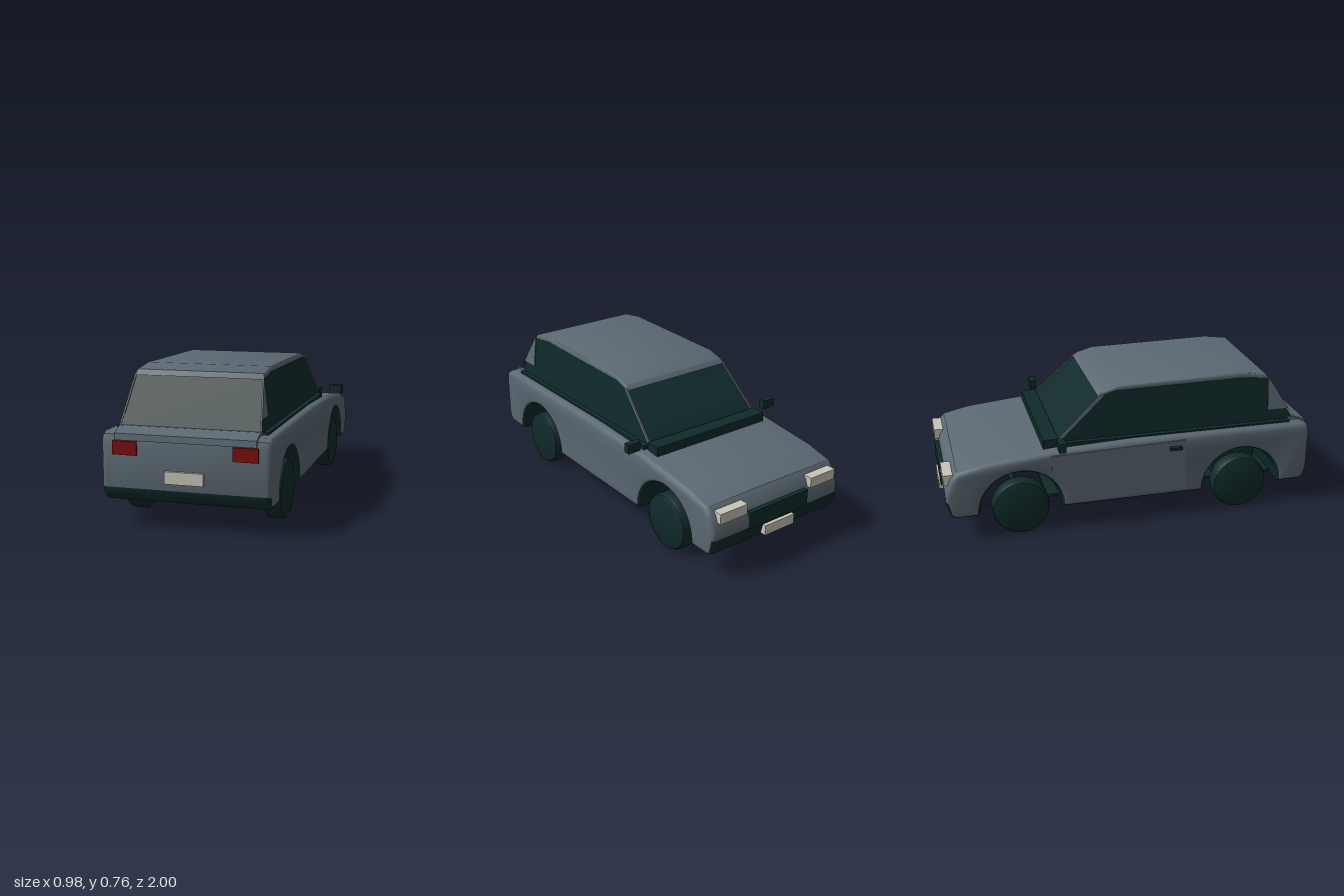
import * as THREE from 'three';
import { toCreasedNormals } from 'three/addons/utils/BufferGeometryUtils.js';

const makeMaterial = (name, color) => {
  const m = new THREE.MeshStandardMaterial({ color });
  m.name = name;
  return m;
};

export function createModel() {
  const paint = makeMaterial('grey paint', 0x5c6973);
  const dark = makeMaterial('dark glass and rubber', 0x102a2a);
  const red = makeMaterial('tail light red', 0x7c0c0c);
  const cream = makeMaterial('lamp cream', 0xc8c5b8);

  const car = new THREE.Group();
  car.name = 'car';

  const add = (name, geometry, material) => {
    const mesh = new THREE.Mesh(geometry, material);
    mesh.name = name;
    car.add(mesh);
    return mesh;
  };

  // Box given by its limits on each axis
  const box = (name, material, [x0, x1], [y0, y1], [z0, z1]) => {
    const g = new THREE.BoxGeometry(x1 - x0, y1 - y0, z1 - z0);
    add(name, g.translate((x0 + x1) / 2, (y0 + y1) / 2, (z0 + z1) / 2), material);
  };
  const mirroredBox = (name, material, [x0, x1], y, z) => {
    box(name + 'Left', material, [x0, x1], y, z);
    box(name + 'Right', material, [-x1, -x0], y, z);
  };

  // Side profile of [z, y] points swept across the car from x0 to x1
  const sweep = (points, x0, x1, bevel = 0) => {
    const shape = new THREE.Shape(points.map(([z, y]) => new THREE.Vector2(z, y)));
    const depth = x1 - x0 - 2 * bevel;
    const g = new THREE.ExtrudeGeometry(shape, {
      depth, bevelEnabled: bevel > 0, bevelSize: bevel, bevelThickness: bevel,
      bevelOffset: -bevel, bevelSegments: 3,
    });
    return g.translate(0, 0, -depth / 2).rotateY(-Math.PI / 2).translate((x0 + x1) / 2, 0, 0);
  };

  // Cabin sides lean inward towards the roof
  const lean = (g) => {
    const p = g.attributes.position;
    for (let i = 0; i < p.count; i++) {
      p.setX(i, p.getX(i) * (1 - 0.33 * (p.getY(i) - 0.48)));
    }
    return toCreasedNormals(g, 0.5);
  };

  // Lower body outline with two wheel arches
  const arch = (z) => Array.from({ length: 17 }, (_, i) => {
    const a = Math.PI * (1 - i / 16);
    return [z + 0.215 * Math.cos(a), 0.15 + 0.21 * Math.sin(a)];
  });
  const outline = [
    [0.95, 0.135], [0.975, 0.16], [0.985, 0.2], [0.985, 0.42], [0.975, 0.455], [0.945, 0.47],
    [0, 0.472], [-0.4, 0.457], [-0.78, 0.42], [-0.92, 0.388], [-0.955, 0.35], [-0.985, 0.27],
    [-0.985, 0.23], [-0.965, 0.15], [-0.94, 0.135], [-0.82, 0.135],
    ...arch(-0.6), [-0.38, 0.135], [0.38, 0.135], ...arch(0.6), [0.82, 0.135],
  ];
  const body = toCreasedNormals(sweep(outline, -0.418, 0.418, 0.025), 0.6);

  // Split the body: bumpers, underside and arch linings are dark
  const bp = body.attributes.position, bn = body.attributes.normal;
  const split = { paint: [[], []], dark: [[], []] };
  const [a, b, c, n] = [0, 1, 2, 3].map(() => new THREE.Vector3());
  for (let i = 0; i < bp.count; i += 3) {
    [a, b, c].forEach((v, k) => v.fromBufferAttribute(bp, i + k));
    n.subVectors(b, a).cross(c.clone().sub(a)).normalize();
    const y = (a.y + b.y + c.y) / 3, z = (a.z + b.z + c.z) / 3;
    const inArch = Math.hypot(Math.abs(z) - 0.6, y - 0.15) < 0.25;
    const low = y < (z < -0.9 ? 0.235 : 0.2);
    const [pos, nor] = split[Math.abs(n.x) < 0.75 && (low || inArch) ? 'dark' : 'paint'];
    for (let k = i; k < i + 3; k++) {
      pos.push(bp.getX(k), bp.getY(k), bp.getZ(k));
      nor.push(bn.getX(k), bn.getY(k), bn.getZ(k));
    }
  }
  const fromLists = ([pos, nor]) => new THREE.BufferGeometry()
    .setAttribute('position', new THREE.Float32BufferAttribute(pos, 3))
    .setAttribute('normal', new THREE.Float32BufferAttribute(nor, 3));
  add('bodyShell', fromLists(split.paint), paint);
  add('bumpersAndUnderside', fromLists(split.dark), dark);

  // Floor, tank and the dark trim along the window line
  box('floorPan', dark, [-0.3, 0.3], [0.142, 0.156], [-0.45, 0.83]);
  box('fuelTank', dark, [-0.28, 0.28], [0.17, 0.3], [0.48, 0.72]);
  box('beltTrim', dark, [-0.375, 0.375], [0.45, 0.48], [-0.38, 0.88]);

  // Glasshouse
  add('cabinGlass', lean(sweep([
    [0.9, 0.46], [0.905, 0.485], [0.758, 0.722], [0.62, 0.74], [-0.07, 0.735],
    [-0.14, 0.715], [-0.395, 0.48], [-0.4, 0.455],
  ], -0.347, 0.347)), dark);

  // Roof
  add('roof', lean(sweep([
    [0.772, 0.712], [0.75, 0.738], [0.62, 0.757], [-0.06, 0.748], [-0.15, 0.722],
    [-0.172, 0.7], [-0.07, 0.722], [0.62, 0.728],
  ], -0.352, 0.352, 0.008)), paint);

  // Pillars on both sides
  const pillars = {
    rearPillar: [[0.915, 0.485], [0.765, 0.725], [0.765, 0.54], [0.88, 0.54]],
    frontPillar: [[-0.375, 0.49], [-0.14, 0.705], [-0.165, 0.708], [-0.4, 0.49]],
  };
  for (const [name, points] of Object.entries(pillars)) {
    add(name + 'Left', lean(sweep(points, 0.344, 0.352)), paint);
    add(name + 'Right', lean(sweep(points, -0.352, -0.344)), paint);
  }

  // Tailgate sill below the rear window, and cowl below the windscreen
  add('tailgateSill', sweep([
    [0.88, 0.43], [0.99, 0.43], [0.986, 0.462], [0.92, 0.488], [0.88, 0.488],
  ], -0.348, 0.348), paint);
  box('cowl', dark, [-0.357, 0.357], [0.44, 0.5], [-0.47, -0.39]);

  // Door panel and handle on the right side
  add('door', sweep([
    [-0.34, 0.165], [0.28, 0.165], [0.28, 0.45], [-0.44, 0.435], [-0.44, 0.345], [-0.37, 0.26],
  ], -0.422, -0.416), paint);
  box('doorHandle', dark, [-0.443, -0.42], [0.403, 0.419], [0.19, 0.255]);

  // Mirrors, lamps, grille and plates
  mirroredBox('wingMirror', dark, [0.416, 0.49], [0.48, 0.53], [-0.41, -0.375]);
  mirroredBox('tailLight', red, [0.235, 0.357], [0.36, 0.427], [0.97, 0.993]);
  mirroredBox('headlight', cream, [0.21, 0.378], [0.315, 0.37], [-0.99, -0.94]);
  box('grille', dark, [-0.19, 0.19], [0.225, 0.315], [-0.993, -0.95]);
  box('rearPlate', cream, [-0.096, 0.096], [0.235, 0.295], [0.98, 1]);
  box('frontPlate', cream, [-0.096, 0.096], [0.158, 0.212], [-1, -0.965]);

  // Wheels
  const tyre = [[0, -0.05], [0.128, -0.05], [0.143, -0.043], [0.15, -0.025],
    [0.15, 0.025], [0.143, 0.043], [0.128, 0.05], [0, 0.05]];
  const wheel = toCreasedNormals(
    new THREE.LatheGeometry(tyre.map(([r, y]) => new THREE.Vector2(r, y)), 32), 0.7,
  ).rotateZ(Math.PI / 2);
  for (const [side, x] of [['Left', 0.358], ['Right', -0.358]]) {
    for (const [end, z] of [['front', -0.6], ['rear', 0.6]]) {
      add(end + 'Wheel' + side, wheel, dark).position.set(x, 0.15, z);
    }
  }

  // Axles
  for (const z of [-0.6, 0.6]) {
    add('axle', new THREE.CylinderGeometry(0.015, 0.015, 0.66, 12).rotateZ(Math.PI / 2), dark)
      .position.set(0, 0.15, z);
  }
  return car;
}
